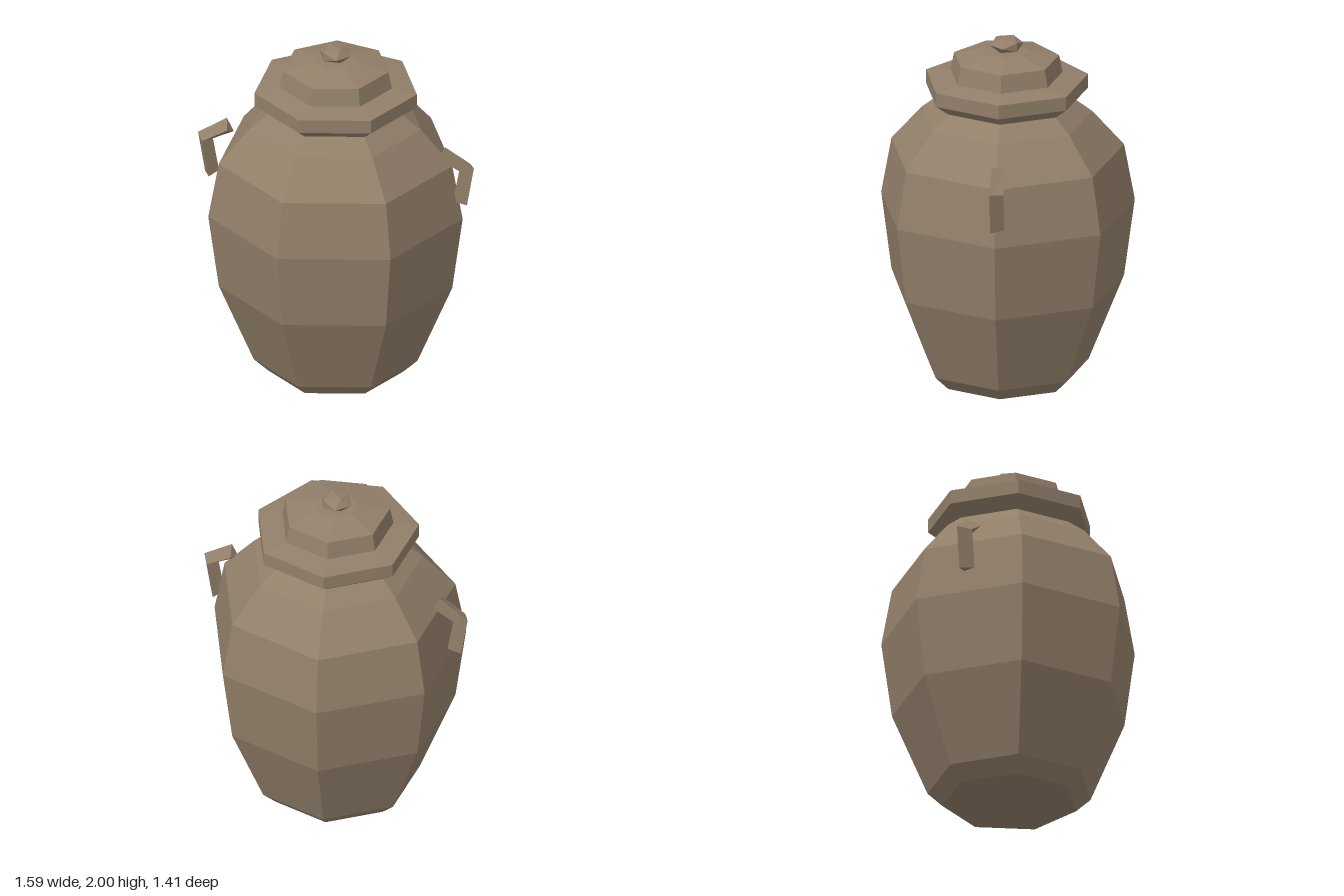
import * as THREE from 'three';

const clay = new THREE.MeshStandardMaterial({ color: 0x927f6a, flatShading: true });
clay.name = 'brown clay';

// Seven-sided turned form with a corner on +x; profile is [radius, y] from bottom to top
function turned(name, profile) {
  const points = profile.map(([r, y]) => new THREE.Vector2(r, y));
  const mesh = new THREE.Mesh(new THREE.LatheGeometry(points, 7, Math.PI / 2), clay);
  mesh.name = name;
  return mesh;
}

// Bent bar of triangular section: flat side towards +z, ridge towards -z
function handleGeometry() {
  const stations = [ // outer x, y, inner x, y
    [0.63, 1.46, 0.59, 1.38],
    [0.795, 1.35, 0.71, 1.32],
    [0.755, 1.11, 0.675, 1.125],
  ];
  const positions = [];
  for (const [ox, oy, ix, iy] of stations) {
    positions.push(ox, oy, 0.023, ix, iy, 0.023, (ox + ix) / 2, (oy + iy) / 2, -0.052);
  }
  const index = [0, 2, 1, 6, 7, 8]; // end caps
  for (let s = 0; s < 2; s++) {
    for (let k = 0; k < 3; k++) {
      const a = s * 3 + k, b = s * 3 + (k + 1) % 3;
      index.push(a, b, b + 3, a, b + 3, a + 3);
    }
  }
  // Caps and sides are wound outwards
  const geometry = new THREE.BufferGeometry();
  geometry.setAttribute('position', new THREE.Float32BufferAttribute(positions, 3));
  geometry.setIndex(index);
  const flat = geometry.toNonIndexed();
  flat.computeVertexNormals();
  return flat;
}

export function createModel() {
  const jar = new THREE.Group();
  jar.name = 'jar';

  jar.add(turned('body', [
    [0, 0], [0.383, 0], [0.466, 0.08], [0.665, 0.565], [0.725, 1.01],
    [0.665, 1.335], [0.487, 1.54], [0.383, 1.62],
  ]));

  jar.add(turned('lid', [
    [0, 1.62], [0.383, 1.62], [0.463, 1.68], [0.463, 1.76], [0.32, 1.78],
    [0.3, 1.88], [0.122, 1.92], [0, 1.92],
  ]));

  // Flattened faceted knob
  const knob = new THREE.Mesh(new THREE.IcosahedronGeometry(0.096, 0), clay);
  knob.name = 'knob';
  knob.scale.y = 0.51;
  knob.rotation.y = -0.715;
  knob.position.set(-0.006, 1.958, -0.006);
  jar.add(knob);

  // Two handles, each a half turn from the other
  const geometry = handleGeometry();
  ['leftHandle', 'rightHandle'].forEach((name, i) => {
    const handle = new THREE.Mesh(geometry, clay);
    handle.name = name;
    handle.rotation.y = i * Math.PI;
    jar.add(handle);
  });

  return jar;
}
